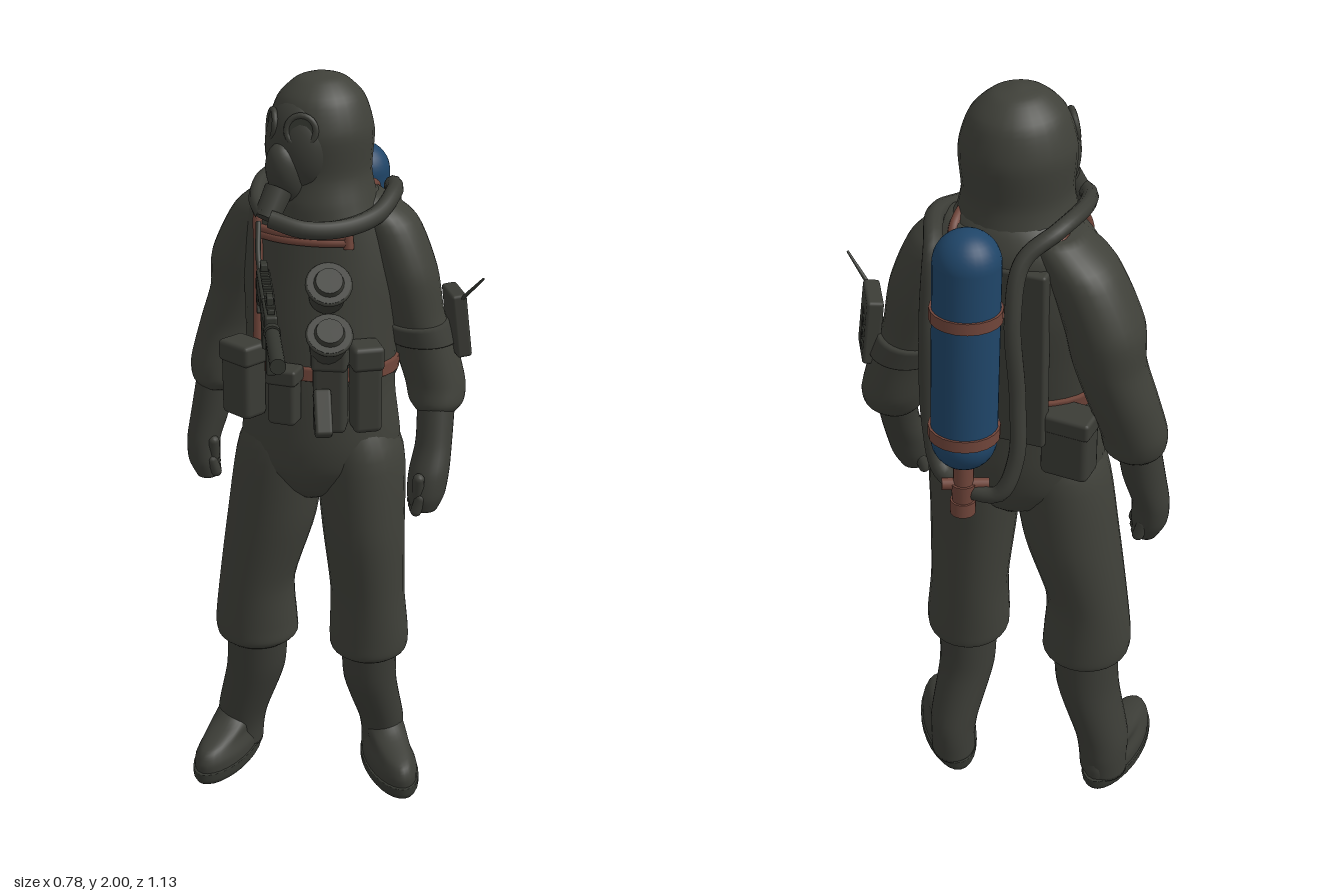
import * as THREE from 'three';
import { RoundedBoxGeometry } from 'three/addons/geometries/RoundedBoxGeometry.js';

const mat = (name, color) => Object.assign(new THREE.MeshStandardMaterial({ color }), { name });
const SUIT = mat('suit olive grey', 0x3f4039);
const GEAR = mat('gear dark grey', 0x3b3c36);
const METAL = mat('gunmetal', 0x343630);
const BLUE = mat('tank blue', 0x1f4568);
const STRAP = mat('strap brown', 0x70453a);
const V = (x, y, z) => new THREE.Vector3(x, y, z);
const deg = THREE.MathUtils.degToRad;

// Smooth skin over horizontal ellipses, listed from the top: [y, x, z, radiusX, radiusZ]
function loft(sections, yaw = 0, n = 28, sub = 5) {
  const s = [...sections].reverse();
  const centres = new THREE.CatmullRomCurve3(s.map(p => V(p[1], p[0], p[2])), false, 'catmullrom', 0.4);
  const radii = new THREE.CatmullRomCurve3(s.map(p => V(p[3], 0, p[4])), false, 'catmullrom', 0.4);
  const pos = [], idx = [], steps = (s.length - 1) * sub, c = Math.cos(yaw), q = Math.sin(yaw);
  const ring = (t, k) => {
    const o = centres.getPoint(t), r = radii.getPoint(t);
    for (let j = 0; j < n; j++) {
      const a = j / n * Math.PI * 2, x = Math.cos(a) * r.x * k, z = Math.sin(a) * r.z * k;
      pos.push(o.x + x * c + z * q, o.y, o.z - x * q + z * c);
    }
  };
  ring(0, 0);
  for (let i = 0; i <= steps; i++) ring(i / steps, 1);
  ring(1, 0);
  for (let i = 0; i < steps + 2; i++) for (let j = 0; j < n; j++) {
    const a = i * n + j, d = i * n + (j + 1) % n;
    idx.push(a, a + n, d, d, a + n, d + n);
  }
  const g = new THREE.BufferGeometry();
  g.setAttribute('position', new THREE.Float32BufferAttribute(pos, 3));
  g.setIndex(idx);
  g.computeVertexNormals();
  return g;
}

function add(parent, name, geo, material, p = [0, 0, 0], r = [0, 0, 0]) {
  const m = new THREE.Mesh(geo, material);
  m.name = name;
  m.position.set(...p);
  m.rotation.set(r[0], r[1], r[2], 'YXZ');
  parent.add(m);
  return m;
}
const box = (w, h, d) => new RoundedBoxGeometry(w, h, d, 2, Math.min(w, h, d) * 0.2);
const cyl = (r, h, r2 = r) => new THREE.CylinderGeometry(r2, r, h, 20);
const tube = (pts, r) => new THREE.TubeGeometry(new THREE.CatmullRomCurve3(pts.map(p => V(...p))), 70, r, 10);
function rod(parent, name, a, b, r, material, r2 = r) {
  const A = V(...a), B = V(...b), d = B.clone().sub(A);
  const m = add(parent, name, cyl(r, d.length(), r2), material);
  m.position.copy(A).add(B).multiplyScalar(0.5);
  m.quaternion.setFromUnitVectors(V(0, 1, 0), d.normalize());
}

const BODY_YAW = deg(-24);
const TORSO = [
  [1.735, 0, -0.25, 0.1, 0.1], [1.7, -0.005, -0.26, 0.145, 0.12], [1.64, -0.01, -0.268, 0.195, 0.138],
  [1.5, -0.005, -0.26, 0.212, 0.152], [1.35, -0.01, -0.24, 0.205, 0.155], [1.2, -0.015, -0.222, 0.2, 0.153],
  [1.06, -0.015, -0.217, 0.216, 0.158], [0.98, -0.02, -0.217, 0.205, 0.15], [0.92, -0.02, -0.22, 0.13, 0.125],
  [0.885, -0.02, -0.22, 0.05, 0.09]];

// Torso section at a height, grown outward by g
function sectionAt(y, g = 0) {
  const i = Math.max(1, TORSO.findIndex(s => s[0] <= y)), a = TORSO[i - 1], b = TORSO[i];
  const k = (a[0] - y) / (a[0] - b[0]);
  const s = a.map((v, j) => v + (b[j] - v) * k);
  return [y, s[1], s[2], s[3] + g, s[4] + g];
}
// Point on the torso skin; side is 1 for the chest, -1 for the back
function onTorso(y, lx, side) {
  const [, cx, cz, rx, rz] = sectionAt(y, 0.004);
  const lz = side * rz * Math.sqrt(Math.max(0, 1 - (lx / rx) ** 2));
  const c = Math.cos(BODY_YAW), s = Math.sin(BODY_YAW);
  return [cx + lx * c + lz * s, y, cz - lx * s + lz * c];
}

function buildHead(root) {
  const head = new THREE.Group();
  head.name = 'head';
  head.position.set(-0.01, 0, -0.235);
  head.rotation.y = deg(-48);
  root.add(head);
  add(head, 'hood', loft([[2, 0, 0, 0.012, 0.012], [1.985, 0, 0, 0.06, 0.065], [1.94, 0, 0, 0.107, 0.112],
    [1.86, 0, 0, 0.133, 0.135], [1.76, 0, 0, 0.128, 0.128], [1.69, 0, 0, 0.145, 0.14], [1.64, 0, 0, 0.16, 0.14]]), SUIT);
  const face = add(head, 'mask', new THREE.SphereGeometry(1, 28, 20), GEAR, [0, 1.825, 0.08]);
  face.scale.set(0.095, 0.125, 0.075);
  for (const s of [-1, 1]) {
    const eye = new THREE.Group();
    eye.name = 'eyepiece';
    eye.position.set(s * 0.05, 1.88, 0.125);
    eye.rotation.set(-0.12, s * 0.6, 0, 'YXZ');
    head.add(eye);
    add(eye, 'eyeRim', new THREE.TorusGeometry(0.036, 0.008, 8, 24), GEAR);
    add(eye, 'eyeLens', new THREE.CylinderGeometry(0.034, 0.034, 0.008, 24), METAL, [0, 0, 0], [Math.PI / 2, 0, 0]);
  }
  const snout = add(head, 'snout', new THREE.SphereGeometry(1, 24, 18), GEAR, [0, 1.765, 0.125], [0.35, 0, 0]);
  snout.scale.set(0.05, 0.085, 0.052);
  rod(head, 'breathingValve', [0, 1.73, 0.155], [0, 1.665, 0.2], 0.036, GEAR, 0.032);
}

function buildLimbs(root) {
  add(root, 'leftSleeve', loft([[1.7, 0.08, -0.25, 0.06, 0.08], [1.63, 0.15, -0.228, 0.085, 0.105], [1.5, 0.2, -0.208, 0.087, 0.112],
    [1.38, 0.227, -0.2, 0.08, 0.1], [1.3, 0.255, -0.195, 0.083, 0.09], [1.2, 0.284, -0.185, 0.08, 0.085],
    [1.15, 0.287, -0.168, 0.073, 0.077], [1.125, 0.285, -0.16, 0.055, 0.06]]), SUIT);
  add(root, 'rightSleeve', loft([[1.7, -0.08, -0.32, 0.07, 0.085], [1.63, -0.14, -0.36, 0.088, 0.11], [1.5, -0.193, -0.395, 0.094, 0.118],
    [1.4, -0.208, -0.405, 0.086, 0.108], [1.3, -0.24, -0.41, 0.084, 0.095], [1.2, -0.272, -0.402, 0.08, 0.088],
    [1.15, -0.277, -0.395, 0.074, 0.08], [1.125, -0.28, -0.39, 0.055, 0.06]]), SUIT);
  add(root, 'leftGlove', loft([[1.16, 0.285, -0.155, 0.05, 0.055], [1.05, 0.275, -0.115, 0.048, 0.053],
    [0.98, 0.26, -0.085, 0.053, 0.055], [0.92, 0.25, -0.07, 0.05, 0.052], [0.88, 0.245, -0.065, 0.035, 0.04]]), GEAR);
  add(root, 'rightGlove', loft([[1.16, -0.285, -0.39, 0.052, 0.055], [1.05, -0.305, -0.385, 0.052, 0.054],
    [0.97, -0.325, -0.38, 0.046, 0.055], [0.91, -0.325, -0.375, 0.044, 0.052], [0.865, -0.318, -0.37, 0.03, 0.038]]), GEAR);
  // Curled fingers and thumbs
  for (const [side, x, z] of [['left', 0.225, -0.068], ['right', -0.3, -0.372]]) {
    for (let i = 0; i < 4; i++) add(root, side + 'Finger', new THREE.CapsuleGeometry(0.015, 0.035, 4, 10), GEAR,
      [x, 0.895 + Math.abs(i - 1.5) * 0.004, z + (i - 1.5) * 0.024], [0, 0, side === 'left' ? -0.3 : 0.3]);
    add(root, side + 'Thumb', new THREE.CapsuleGeometry(0.016, 0.05, 4, 10), GEAR, [x, 0.95, z + 0.032], [0.2, 0, 0]);
  }
  // Trouser legs and boots
  add(root, 'rightTrouser', loft([[1.16, -0.085, -0.235, 0.07, 0.09], [1.02, -0.115, -0.252, 0.117, 0.135], [0.8, -0.145, -0.265, 0.122, 0.135],
    [0.6, -0.188, -0.275, 0.105, 0.118], [0.47, -0.193, -0.28, 0.114, 0.113], [0.42, -0.19, -0.28, 0.113, 0.11], [0.4, -0.19, -0.28, 0.092, 0.092]]), SUIT);
  add(root, 'leftTrouser', loft([[1.16, 0.06, -0.19, 0.07, 0.1], [1.02, 0.085, -0.182, 0.118, 0.148], [0.8, 0.095, -0.167, 0.112, 0.147],
    [0.6, 0.108, -0.17, 0.102, 0.13], [0.47, 0.113, -0.17, 0.109, 0.118], [0.42, 0.113, -0.17, 0.106, 0.112], [0.4, 0.113, -0.17, 0.085, 0.09]]), SUIT);
  add(root, 'rightBootShaft', loft([[0.45, -0.19, -0.28, 0.085, 0.09], [0.3, -0.197, -0.295, 0.083, 0.084],
    [0.15, -0.234, -0.322, 0.072, 0.078], [0.09, -0.24, -0.332, 0.066, 0.076], [0.03, -0.243, -0.335, 0.064, 0.075]]), GEAR);
  add(root, 'leftBootShaft', loft([[0.45, 0.115, -0.175, 0.078, 0.086], [0.3, 0.12, -0.19, 0.074, 0.081],
    [0.15, 0.157, -0.232, 0.064, 0.078], [0.09, 0.163, -0.243, 0.06, 0.076], [0.03, 0.163, -0.245, 0.06, 0.075]]), GEAR);
  const foot = loft([[0.165, 0, -0.08, 0.04, 0.045], [0.125, 0, -0.055, 0.055, 0.085], [0.092, 0, -0.008, 0.054, 0.14],
    [0.06, 0, 0, 0.066, 0.156], [0.03, 0, 0, 0.068, 0.156]]);
  const sole = loft([[0.035, 0, 0, 0.072, 0.163], [0.012, 0, 0, 0.072, 0.163], [0, 0, 0, 0.066, 0.157]]);
  for (const [side, x, z, yaw] of [['right', -0.285, -0.268, -30], ['left', 0.175, -0.162, 10]]) {
    add(root, side + 'BootFoot', foot, GEAR, [x, 0, z], [0, deg(yaw), 0]);
    add(root, side + 'BootSole', sole, METAL, [x, 0, z], [0, deg(yaw), 0]);
  }
}

function buildHarness(root) {
  const band = (y, h, g) => loft([sectionAt(y + h / 2, g), sectionAt(y - h / 2, g)], BODY_YAW, 36);
  add(root, 'waistBelt', band(1.26, 0.035, 0.008), STRAP);
  // Shoulder straps: the right one runs on down to the belt
  for (const [lx, front] of [[-0.13, [1.27, 1.4, 1.5, 1.58, 1.64]], [0.115, [1.58, 1.64]]]) {
    const path = front.map(y => onTorso(y, lx, 1))
      .concat([onTorso(1.695, lx, 1), onTorso(1.695, lx, -1), onTorso(1.62, lx, -1)]);
    add(root, 'shoulderStrap', tube(path, 0.013), STRAP);
  }
  for (const y of [1.595, 1.61]) add(root, 'chestStrap', tube([-0.13, -0.06, 0, 0.06, 0.115].map(x => onTorso(y, x, 1)), 0.011), STRAP);
  add(root, 'backPlate', box(0.22, 0.46, 0.04), GEAR, [0.035, 1.41, -0.385], [0, BODY_YAW, 0]);
  // Pouches on the belt: x, y, z, width, height, depth, yaw
  for (const [x, y, z, w, h, d, yaw] of [[-0.22, 1.23, -0.15, 0.1, 0.2, 0.075, -50], [-0.12, 1.21, -0.07, 0.075, 0.15, 0.06, -25],
    [-0.005, 1.24, -0.035, 0.085, 0.23, 0.075, -12], [0.085, 1.235, -0.045, 0.075, 0.23, 0.08, 8], [-0.12, 1.18, -0.42, 0.12, 0.17, 0.08, -28]]) {
    add(root, 'pouch', box(w, h, d), GEAR, [x, y, z], [0, deg(yaw), 0]);
    add(root, 'pouchFlap', box(w + 0.008, h * 0.28, d + 0.008), GEAR, [x, y + h * 0.37, z], [0, deg(yaw), 0]);
  }
  add(root, 'toolHolster', box(0.045, 0.12, 0.045), GEAR, [-0.03, 1.195, 0.03], [-0.6, 0, 0]);
  // Stacked filter canisters on the chest
  for (const [x, y, z, tilt] of [[-0.008, 1.485, -0.075, 0.85], [-0.012, 1.372, -0.008, 0.75]]) {
    const can = new THREE.Group();
    can.name = 'filterCanister';
    can.position.set(x, y, z);
    can.rotation.x = tilt;
    root.add(can);
    add(can, 'canisterBody', cyl(0.046, 0.09, 0.055), GEAR);
    add(can, 'canisterRim', new THREE.TorusGeometry(0.052, 0.008, 8, 24), GEAR, [0, 0.036, 0], [Math.PI / 2, 0, 0]);
    add(can, 'canisterCap', cyl(0.04, 0.02, 0.034), GEAR, [0, 0.05, 0]);
  }
  // Radio strapped to the left arm
  add(root, 'armBand', loft([[1.365, 0.231, -0.2, 0.088, 0.105], [1.31, 0.252, -0.197, 0.091, 0.1]]), GEAR);
  add(root, 'radio', box(0.04, 0.17, 0.115), GEAR, [0.335, 1.365, -0.165], [0, 0.1, 0.12]);
  for (let i = 0; i < 9; i++) add(root, 'radioKey', box(0.008, 0.018, 0.022), METAL,
    [0.357 - Math.floor(i / 3) * 0.004, 1.325 + Math.floor(i / 3) * 0.035, -0.2 + (i % 3) * 0.035], [0, 0.1, 0.12]);
  rod(root, 'antenna', [0.325, 1.42, -0.125], [0.385, 1.505, -0.07], 0.006, METAL, 0.003);
}

function buildTank(root) {
  const tank = new THREE.Group();
  tank.name = 'airTank';
  tank.position.set(0.12, 1.47, -0.468);
  tank.rotation.set(0.065, 0, 0.03);
  root.add(tank);
  add(tank, 'tankBody', new THREE.CapsuleGeometry(0.077, 0.442, 10, 28), BLUE);
  for (const y of [0.1, -0.2]) {
    add(tank, 'tankBand', cyl(0.083, 0.028), STRAP, [0, y, 0]);
    add(tank, 'bandMount', box(0.05, 0.026, 0.06), STRAP, [-0.01, y, 0.08]);
  }
  add(tank, 'tankNeck', cyl(0.024, 0.06), STRAP, [0, -0.32, 0]);
  add(tank, 'valveBody', cyl(0.024, 0.06, 0.03), STRAP, [0, -0.375, 0]);
  add(tank, 'valveKnob', cyl(0.03, 0.035), STRAP, [0, -0.41, 0]);
  rod(tank, 'valveStem', [-0.06, -0.35, 0], [0.05, -0.35, 0], 0.014, STRAP);
  add(root, 'leftHose', tube([[-0.15, 1.672, -0.075], [-0.07, 1.65, -0.05], [0.03, 1.645, -0.07], [0.12, 1.66, -0.13], [0.175, 1.69, -0.235],
    [0.185, 1.67, -0.35], [0.2, 1.5, -0.39], [0.2, 1.22, -0.39], [0.18, 1.12, -0.43], [0.13, 1.1, -0.48]], 0.023), GEAR);
  add(root, 'rightHose', tube([[-0.165, 1.675, -0.09], [-0.178, 1.695, -0.17], [-0.155, 1.72, -0.28], [-0.09, 1.72, -0.38], [-0.01, 1.67, -0.42],
    [0.015, 1.55, -0.46], [0.005, 1.35, -0.48], [0.01, 1.2, -0.51], [0.05, 1.11, -0.52], [0.12, 1.1, -0.49]], 0.02), GEAR);
}

function buildGun(root) {
  const gun = new THREE.Group();
  gun.name = 'gun';
  gun.position.set(-0.172, 1.53, 0);
  root.add(gun);
  rod(gun, 'suppressor', [0, 0, 0.37], [0, 0, 0.57], 0.018, METAL);
  rod(gun, 'barrel', [0, 0, 0.3], [0, 0, 0.38], 0.012, METAL);
  rod(gun, 'muzzleCollar', [0, 0, 0.34], [0, 0, 0.362], 0.02, METAL);
  // Block parts: name, width, height, length, y, z, tilt
  for (const [name, w, h, l, y, z, tilt] of [['receiver', 0.034, 0.055, 0.22, 0.005, 0.08, 0], ['handguard', 0.03, 0.046, 0.15, 0.005, 0.25, 0],
    ['topRail', 0.018, 0.012, 0.31, 0.037, 0.165, 0], ['frontSight', 0.016, 0.025, 0.035, 0.05, 0.27, 0], ['rearSight', 0.018, 0.025, 0.04, 0.05, 0.02, 0],
    ['foreGrip', 0.024, 0.11, 0.03, -0.07, 0.285, 0], ['magazine', 0.026, 0.11, 0.055, -0.065, 0.11, 0.1],
    ['triggerGuard', 0.012, 0.008, 0.07, -0.045, 0.17, 0], ['stock', 0.03, 0.06, 0.1, -0.02, -0.015, -0.6], ['stockPad', 0.034, 0.09, 0.02, -0.045, -0.05, -0.4]])
    add(gun, name, box(w, h, l), METAL, [0, y, z], [tilt, 0, 0]);
  for (let i = 0; i < 12; i++) add(gun, 'railTooth', new THREE.BoxGeometry(0.022, 0.006, 0.012), METAL, [0, 0.045, 0.03 + i * 0.025]);
  add(root, 'gunSling', tube([[-0.172, 1.5, -0.03], [-0.18, 1.57, -0.09], [-0.175, 1.64, -0.16]], 0.007), METAL);
}

export function createModel() {
  const root = new THREE.Group();
  root.name = 'armedDiver';
  add(root, 'torso', loft(TORSO, BODY_YAW, 36), SUIT);
  buildHead(root);
  buildLimbs(root);
  buildHarness(root);
  buildTank(root);
  buildGun(root);
  return root;
}
